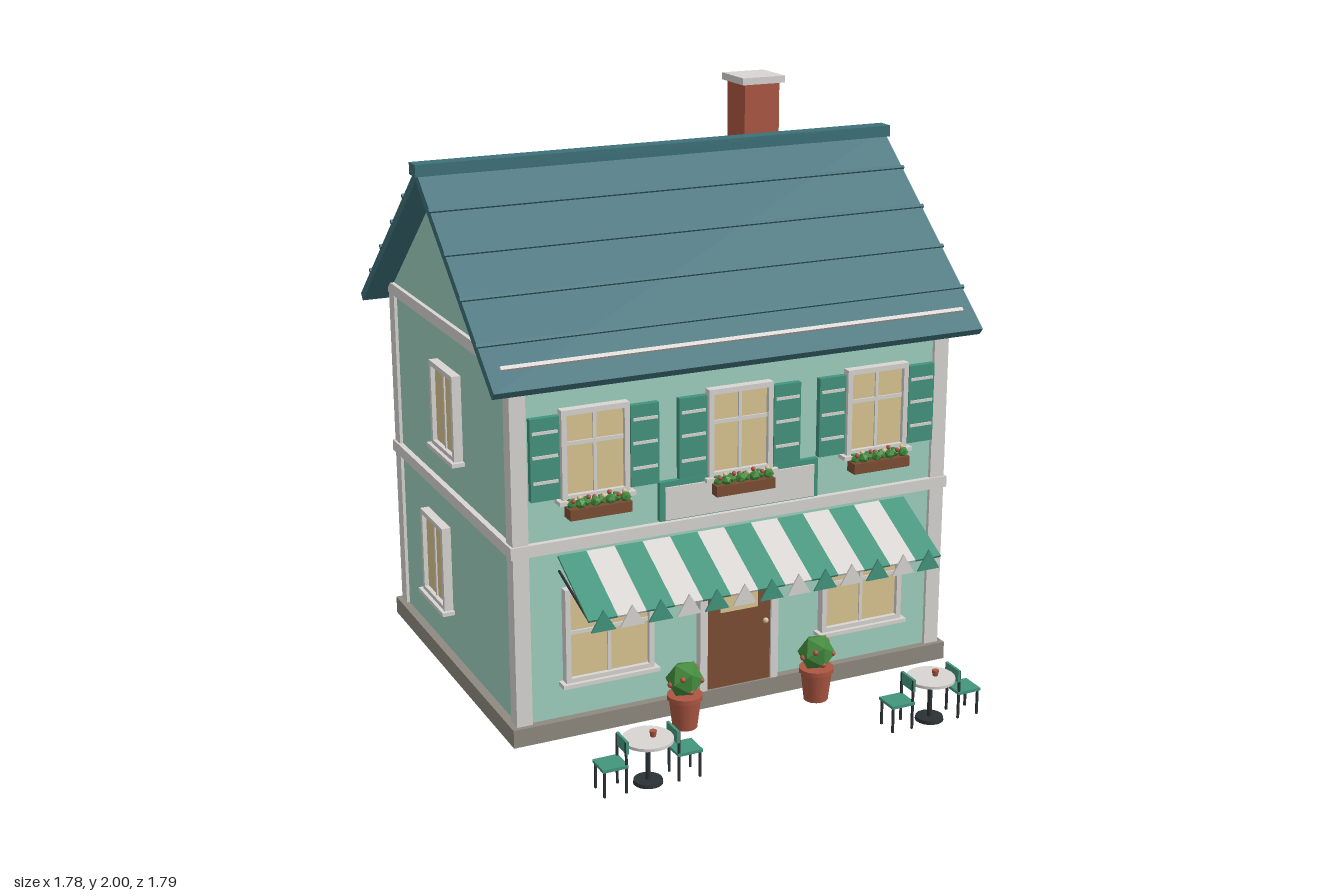
import * as THREE from 'three';

const mat = (name, color, flatShading = false) => {
  const m = new THREE.MeshStandardMaterial({ color, flatShading });
  m.name = name;
  return m;
};

export function createModel() {
  const mint = mat('mint wall', 0x9fd0bf), trim = mat('pale trim', 0xd8d5d2), roofM = mat('slate teal', 0x3d7079);
  const teal = mat('shutter green', 0x43957d), glass = mat('warm glass', 0xdac591), brick = mat('brick red', 0xac5641);
  const wood = mat('wood brown', 0x7c4d33), stone = mat('stone grey', 0x8f8a80), dark = mat('dark iron', 0x2b3134);
  const leaf = mat('leaf green', 0x438a3c, true);

  const root = new THREE.Group();
  root.name = 'cornerCafe';
  const ZC = -0.203; // depth centre of the house

  const add = (parent, name, geo, material, x = 0, y = 0, z = 0) => {
    const m = new THREE.Mesh(geo, material);
    m.name = name;
    m.position.set(x, y, z);
    parent.add(m);
    return m;
  };
  const box = (parent, name, material, w, h, d, x, y, z) =>
    add(parent, name, new THREE.BoxGeometry(w, h, d), material, x, y, z);
  const cyl = (parent, name, material, rt, rb, h, x, y, z, n = 12) =>
    add(parent, name, new THREE.CylinderGeometry(rt, rb, h, n), material, x, y, z);
  const group = (parent, name, x = 0, y = 0, z = 0) => {
    const g = new THREE.Group();
    g.name = name;
    g.position.set(x, y, z);
    parent.add(g);
    return g;
  };
  const rod = (parent, name, material, a, b, r) =>
    add(parent, name, new THREE.TubeGeometry(new THREE.LineCurve3(a, b), 1, r, 6), material);

  // Walls, gable, base, bands and corner posts
  box(root, 'base', stone, 1.64, 0.063, 1.24, 0, 0.0315, ZC);
  box(root, 'walls', mint, 1.58, 1.23, 1.18, 0, 0.675, ZC);
  const gable = new THREE.Shape([[-0.59, 1.28], [0.59, 1.28], [0, 1.772]].map(p => new THREE.Vector2(...p)));
  const gableGeo = new THREE.ExtrudeGeometry(gable, { depth: 1.58, bevelEnabled: false });
  gableGeo.translate(0, 0, -0.79).rotateY(Math.PI / 2);
  add(root, 'gable', gableGeo, mint, 0, 0, ZC);
  box(root, 'floorBand', trim, 1.62, 0.04, 1.22, 0, 0.67, ZC);
  box(root, 'eaveBand', trim, 1.61, 0.04, 1.21, 0, 1.27, ZC);
  for (const sx of [-1, 1]) for (const sz of [-1, 1])
    box(root, 'cornerPost', trim, 0.055, 1.19, 0.055, sx * 0.774, 0.658, ZC + sz * 0.576);

  // Roof slopes with courses and a pale rail
  const L = 0.897;
  for (const turn of [0, Math.PI]) {
    const slope = group(root, 'roofSlope', 0, 1.806, ZC);
    slope.rotation.set(Math.atan(0.83), turn, 0, 'YXZ');
    box(slope, 'roofPanel', roofM, 1.76, 0.03, L, 0, -0.015, L / 2);
    for (let k = 1; k < 5; k++)
      box(slope, 'roofCourse', roofM, 1.77, 0.012, 0.012, 0, 0.001, k * L / 5);
    box(slope, 'eaveRail', trim, 1.67, 0.014, 0.014, 0, 0.003, 0.812);
  }
  box(root, 'ridge', roofM, 1.78, 0.04, 0.062, 0, 1.805, ZC);
  box(root, 'chimney', brick, 0.138, 0.39, 0.138, 0.475, 1.785, -0.44);
  box(root, 'chimneyCap', trim, 0.168, 0.025, 0.168, 0.475, 1.9875, -0.44);

  // Wall-mounted groups: local z = 0 is the wall face
  const front = group(root, 'frontDetails', 0, 0, ZC + 0.59);
  const back = group(root, 'backDetails', 0, 0, ZC - 0.59);
  back.rotation.y = Math.PI;
  const addWindow = (parent, x, y0, y1, w, crossBar, shutters) => {
    const h = y1 - y0, g = group(parent, 'window', x, (y0 + y1) / 2, 0), t = 0.018;
    box(g, 'pane', glass, w - t, h - t, 0.009, 0, 0, 0.012);
    for (const s of [-1, 1]) {
      box(g, 'frameSide', trim, t, h, 0.032, s * (w - t) / 2, 0, 0.016);
      box(g, 'frameRail', trim, w, t, 0.032, 0, s * (h - t) / 2, 0.016);
    }
    box(g, 'mullion', trim, 0.012, h - t, 0.016, 0, 0, 0.014);
    if (crossBar) box(g, 'crossBar', trim, w - t, 0.013, 0.016, 0, crossBar * h, 0.014);
    box(g, 'sill', trim, w + 0.03, 0.014, 0.045, 0, -h / 2 - 0.004, 0.0225);
    if (shutters) for (const s of [-1, 1]) {
      const sh = group(g, 'shutter', s * (w / 2 + 0.055), -0.003, 0);
      box(sh, 'shutterPanel', teal, 0.1, 0.275, 0.022, 0, 0, 0.016);
      for (const y of [-0.075, 0.01, 0.09]) box(sh, 'slat', trim, 0.086, 0.01, 0.008, 0, y, 0.027);
    }
  };
  for (const x of [-0.517, 0, 0.517]) addWindow(front, x, 0.825, 1.127, 0.235, 0.12, true);
  for (const x of [-0.475, 0.475]) addWindow(front, x, 0.19, 0.52, 0.315, 0.03, false);
  for (const x of [-0.4, 0.4]) addWindow(back, x, 0.825, 1.127, 0.235, 0.12, true);
  for (const s of [-1, 1]) {
    const side = group(root, 'sideDetails', s * 0.79, 0, 0);
    side.rotation.y = s * Math.PI / 2;
    addWindow(side, s * 0.2, 0.825, 1.127, 0.235, 0, false);
    addWindow(side, s * 0.36, 0.225, 0.535, 0.235, 0, false);
  }

  // Flower boxes under the upper front windows
  for (const x of [-0.517, 0, 0.517]) {
    const fb = group(front, 'flowerBox', x, 0, 0.045);
    box(fb, 'trough', wood, 0.215, 0.036, 0.05, 0, 0.788, 0);
    for (let i = 0; i < 8; i++) {
      const px = -0.091 + i * 0.026;
      const tuft = add(fb, 'leaves', new THREE.IcosahedronGeometry(0.019, 0), leaf, px, 0.818, (i % 2 - 0.5) * 0.014);
      tuft.rotation.y = i * 0.9;
      add(fb, 'blossom', new THREE.SphereGeometry(0.008, 8, 6), i % 3 === 1 ? glass : brick,
        px, 0.831 + (i % 3) * 0.004, 0.012 - (i % 2) * 0.014);
    }
  }

  // Blank sign board
  box(front, 'signBoard', teal, 0.585, 0.135, 0.02, 0, 0.767, 0.016);
  box(front, 'signPanel', trim, 0.55, 0.112, 0.009, 0, 0.76, 0.028);

  // Door with glazed top, surround, knob and lanterns
  const door = group(front, 'door');
  box(door, 'doorLeaf', wood, 0.24, 0.447, 0.022, 0, 0.2865, 0.011);
  box(door, 'doorPane', glass, 0.14, 0.16, 0.006, 0, 0.417, 0.024);
  for (const s of [-1, 1]) {
    box(door, 'doorJamb', trim, 0.028, 0.465, 0.03, s * 0.134, 0.2955, 0.015);
    const lantern = group(front, 'lantern', s * 0.195, 0.45, 0);
    box(lantern, 'lanternArm', dark, 0.01, 0.01, 0.04, 0, 0.018, 0.02);
    cyl(lantern, 'lanternCap', dark, 0.006, 0.018, 0.012, 0, 0.017, 0.045);
    add(lantern, 'lanternGlobe', new THREE.SphereGeometry(0.016, 10, 8), glass, 0, 0, 0.045);
  }
  box(door, 'doorLintel', trim, 0.296, 0.028, 0.03, 0, 0.524, 0.015);
  add(door, 'knob', new THREE.SphereGeometry(0.01, 10, 8), glass, 0.1, 0.28, 0.028);

  // Striped awning with triangular pennants and side arms
  const awning = group(root, 'awning');
  const pitch = 1.29 / 13, run = 0.25, drop = 0.13;
  const pennant = new THREE.Shape([[-0.043, 0.464], [0.043, 0.464], [0, 0.535]].map(p => new THREE.Vector2(...p)));
  const pennantGeo = new THREE.ExtrudeGeometry(pennant, { depth: 0.006, bevelEnabled: false });
  for (let i = 0; i < 13; i++) {
    const x = (i - 6) * pitch, m = i % 2 ? trim : teal;
    const stripe = box(awning, 'awningStripe', m, pitch, 0.008, Math.hypot(run, drop), x, 0.567, 0.392 + run / 2);
    stripe.rotation.x = Math.atan2(drop, run);
    add(awning, 'pennant', pennantGeo, m, x, 0, 0.642);
  }
  for (const s of [-1, 1])
    rod(awning, 'awningArm', dark, new THREE.Vector3(s * 0.64, 0.58, 0.39), new THREE.Vector3(s * 0.64, 0.5, 0.642), 0.005);

  // Potted bushes beside the door
  for (const x of [-0.248, 0.248]) {
    const p = group(root, 'planter', x, 0, 0.507);
    cyl(p, 'pot', brick, 0.055, 0.042, 0.108, 0, 0.054, 0, 14);
    cyl(p, 'potRim', brick, 0.06, 0.06, 0.016, 0, 0.11, 0, 14);
    add(p, 'bush', new THREE.IcosahedronGeometry(0.065, 0), leaf, 0, 0.172, 0);
    for (let i = 0; i < 7; i++) {
      const a = i * 2.4, v = -0.5 + i * 0.17, r = Math.sqrt(1 - v * v) * 0.056;
      add(p, 'bushBlossom', new THREE.SphereGeometry(0.01, 8, 6), brick, Math.sin(a) * r, 0.172 + v * 0.056, Math.cos(a) * r);
    }
  }

  // Pavement tables, each with a cup and two chairs
  for (const x of [-0.52, 0.515]) {
    const t = group(root, 'tableSet', x, 0, 0.81);
    cyl(t, 'tableTop', trim, 0.082, 0.082, 0.01, 0, 0.15, 0, 24);
    cyl(t, 'tablePole', dark, 0.008, 0.008, 0.145, 0, 0.0725, 0);
    cyl(t, 'tableFoot', dark, 0.046, 0.048, 0.012, 0, 0.006, 0, 20);
    cyl(t, 'cup', brick, 0.012, 0.009, 0.02, 0.018, 0.165, 0);
    for (const s of [-1, 1]) {
      const c = group(t, 'chair', s * 0.128, 0, 0);
      box(c, 'seat', teal, 0.086, 0.01, 0.086, 0, 0.092, 0);
      box(c, 'backrest', teal, 0.009, 0.042, 0.08, -s * 0.041, 0.154, 0);
      for (const z of [-0.036, 0.036]) {
        box(c, 'outerLeg', dark, 0.007, 0.088, 0.007, s * 0.036, 0.044, z);
        box(c, 'backPost', dark, 0.007, 0.172, 0.007, -s * 0.038, 0.086, z);
      }
    }
  }
  return root;
}
